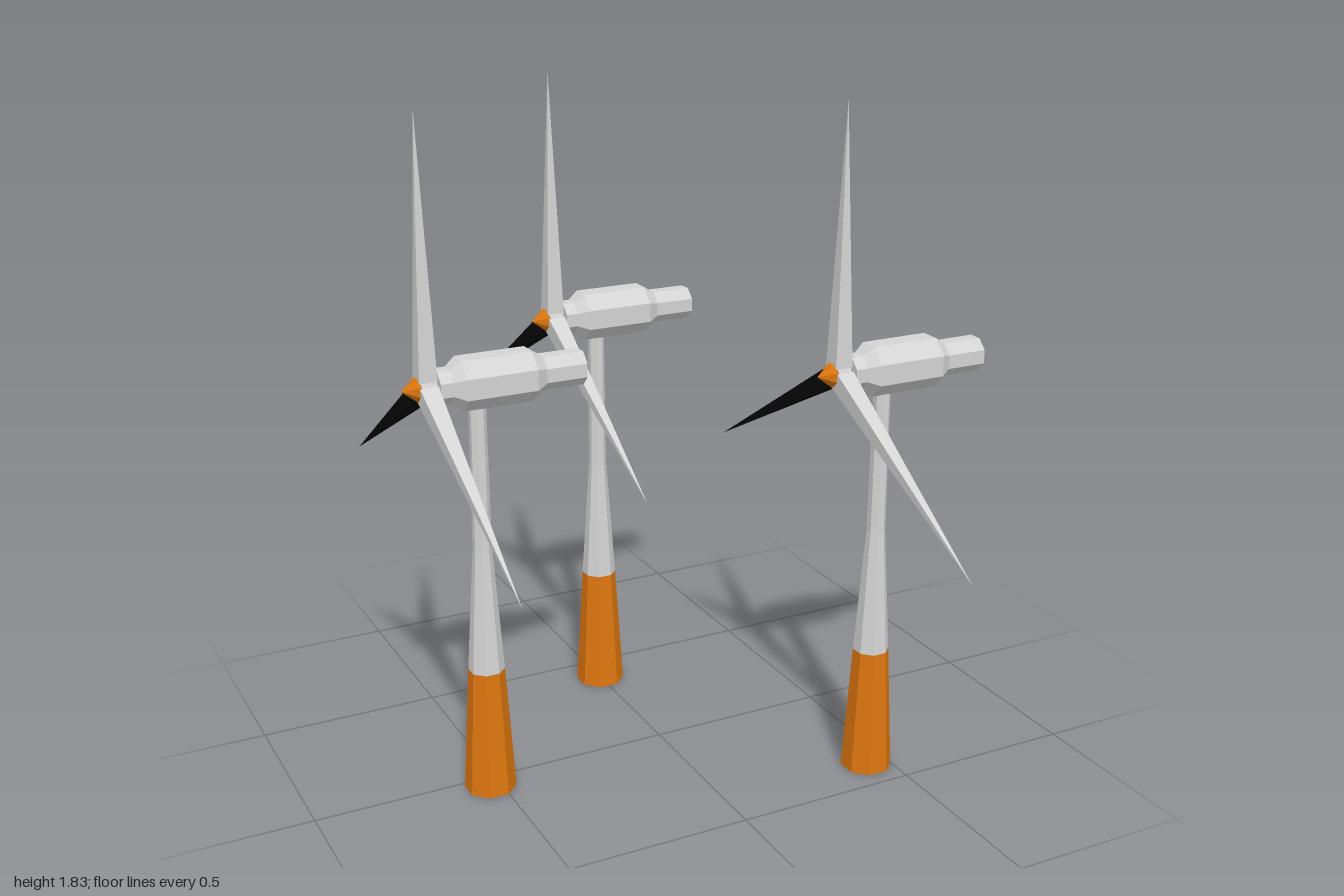
import * as THREE from 'three';

const mat = (name, color) => {
  const m = new THREE.MeshStandardMaterial({ color, flatShading: true });
  m.name = name;
  return m;
};

// Eight-sided turned part with flats facing the axes; points are [radius, height]
const turned = (points) =>
  new THREE.LatheGeometry(points.map(([r, y]) => new THREE.Vector2(r, y)), 8, Math.PI / 8);

export function createModel() {
  const grey = mat('lightGrey', 0xd4d4d4);
  const orange = mat('orange', 0xdd760f);
  const black = mat('black', 0x080808);

  const hubY = 1.14, rotorX = -0.132, bladeLength = 0.685, bladeRoot = 0.02;

  // Tower
  const baseGeo = turned([[0.069, 0], [0.048, 0.35]]);
  const shaftGeo = turned([[0.048, 0.35], [0.025, 0.69], [0.022, 1.11]]);
  const footGeo = new THREE.CircleGeometry(0.069, 8, Math.PI / 8).rotateX(Math.PI / 2);

  // Nacelle, axle and nose lie along x, with the nose towards -x
  const nacelleGeo = turned([
    [0, -0.283], [0.047, -0.283], [0.047, -0.173], [0.07, -0.14],
    [0.07, 0.046], [0.047, 0.074], [0.047, 0.107], [0, 0.107],
  ]).rotateZ(Math.PI / 2);
  const axleGeo = new THREE.CylinderGeometry(0.022, 0.022, 0.05, 8)
    .rotateZ(Math.PI / 2).translate(-0.128, 0, 0);
  const noseGeo = turned([[0, 0.148], [0.035, 0.152], [0, 0.195]]).rotateZ(Math.PI / 2);

  // Blade: slim four-sided pyramid
  const bladeGeo = new THREE.ConeGeometry(0.024 * Math.SQRT2, bladeLength - bladeRoot, 4, 1, false, Math.PI / 4)
    .translate(0, (bladeLength + bladeRoot) / 2, 0);

  const makeTurbine = (x, z) => {
    const turbine = new THREE.Group();
    turbine.name = 'turbine';
    turbine.position.set(x, 0, z);
    const add = (name, geo, material, y = 0) => {
      const mesh = new THREE.Mesh(geo, material);
      mesh.name = name;
      mesh.position.y = y;
      turbine.add(mesh);
      return mesh;
    };
    add('towerBase', baseGeo, orange);
    add('towerFoot', footGeo, grey);
    add('towerShaft', shaftGeo, grey);
    add('nacelle', nacelleGeo, grey, hubY);
    add('axle', axleGeo, grey, hubY);
    add('nose', noseGeo, orange, hubY);
    // Three blades, the last one black
    for (let i = 0; i < 3; i++) {
      const blade = add('blade', bladeGeo, i === 2 ? black : grey, hubY);
      blade.position.x = rotorX;
      blade.rotation.x = (i * 2 * Math.PI) / 3;
    }
    return turbine;
  };

  const model = new THREE.Group();
  model.name = 'windFarm';
  for (const [x, z] of [[-0.527, 0.04], [0, -0.397], [0.438, 0.393]]) model.add(makeTurbine(x, z));
  return model;
}
